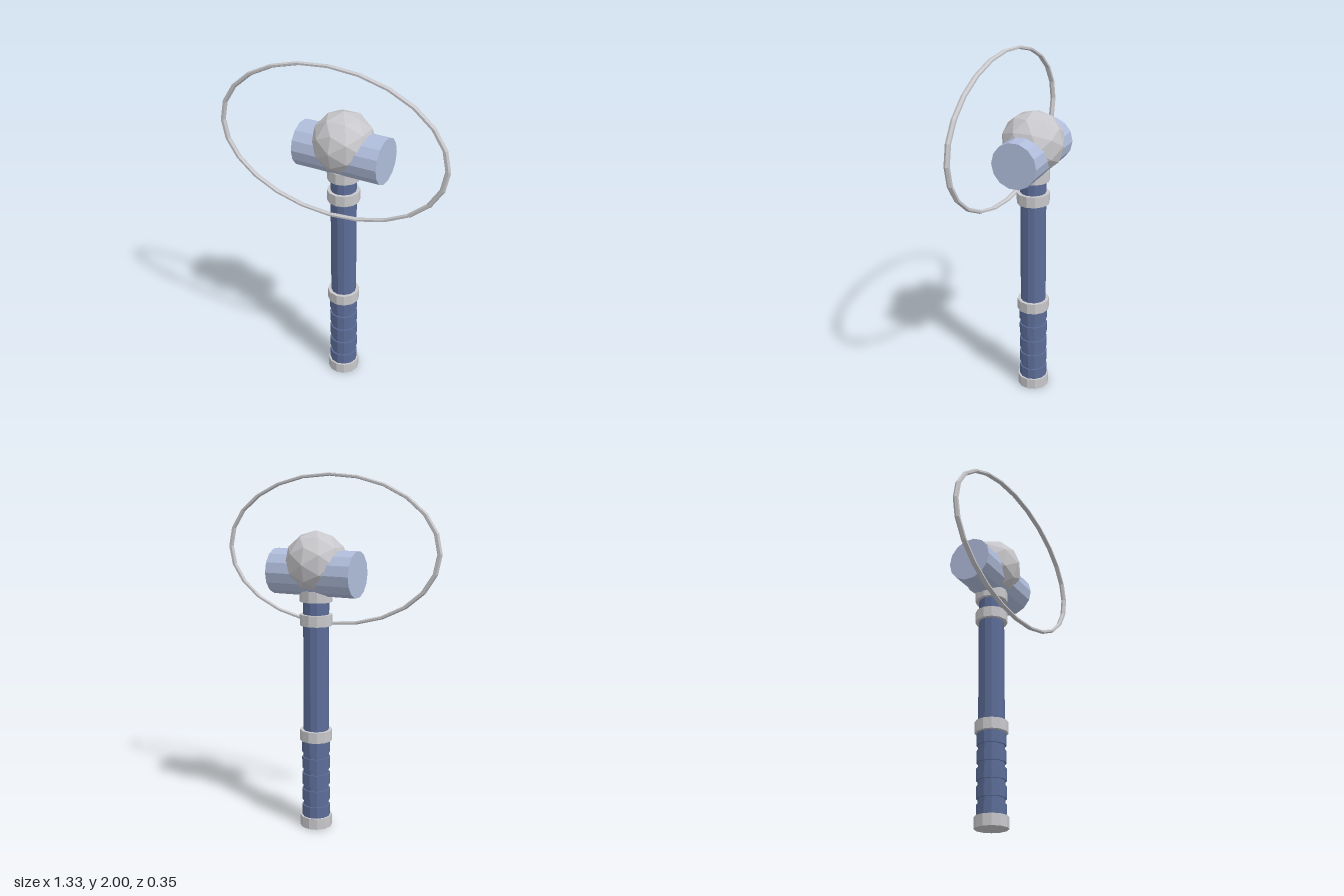
import * as THREE from 'three';

export function createModel() {
  const model = new THREE.Group();
  model.name = 'hammer';

  const material = (name, color) => {
    const m = new THREE.MeshStandardMaterial({ color, flatShading: true });
    m.name = name;
    return m;
  };
  const silver = material('silver', 0xc8c8cc);
  const steelBlue = material('steel blue', 0xb0bddb);
  const darkBlue = material('dark blue', 0x5c6d98);

  const add = (name, geometry, mat, x = 0, y = 0, z = 0) => {
    const mesh = new THREE.Mesh(geometry, mat);
    mesh.name = name;
    mesh.position.set(x, y, z);
    model.add(mesh);
    return mesh;
  };

  // Upright cylinder between two heights
  const post = (name, radius, y0, y1, mat) =>
    add(name, new THREE.CylinderGeometry(radius, radius, y1 - y0, 12), mat, 0, (y0 + y1) / 2, 0);

  // Handle with raised grip bands
  post('shaft', 0.072, 0.03, 1.36, darkBlue);
  for (let i = 0; i < 5; i++) {
    const y = 0.06 + i * 0.0955;
    post('gripBand', 0.08, y, y + 0.067, darkBlue);
  }

  // Silver collars: pommel, grip top, and two below the head
  [[0, 0.063], [0.513, 0.575], [1.173, 1.235], [1.305, 1.367]]
    .forEach(([y0, y1]) => post('collar', 0.091, y0, y1, silver));

  // Head lying across the handle
  const head = add('head', new THREE.CylinderGeometry(0.127, 0.127, 0.5, 14), steelBlue, 0, 1.463, 0);
  head.rotation.z = Math.PI / 2;

  // Faceted orb set into the head
  add('orb', new THREE.IcosahedronGeometry(0.174, 1), silver, 0, 1.518, 0);

  // Thin oval ring in front of the head
  const ring = new THREE.TorusGeometry(0.65, 0.015, 6, 24);
  ring.scale(1, 0.639, 1);
  add('ring', ring, silver, 0, 1.575, 0.159);

  return model;
}
